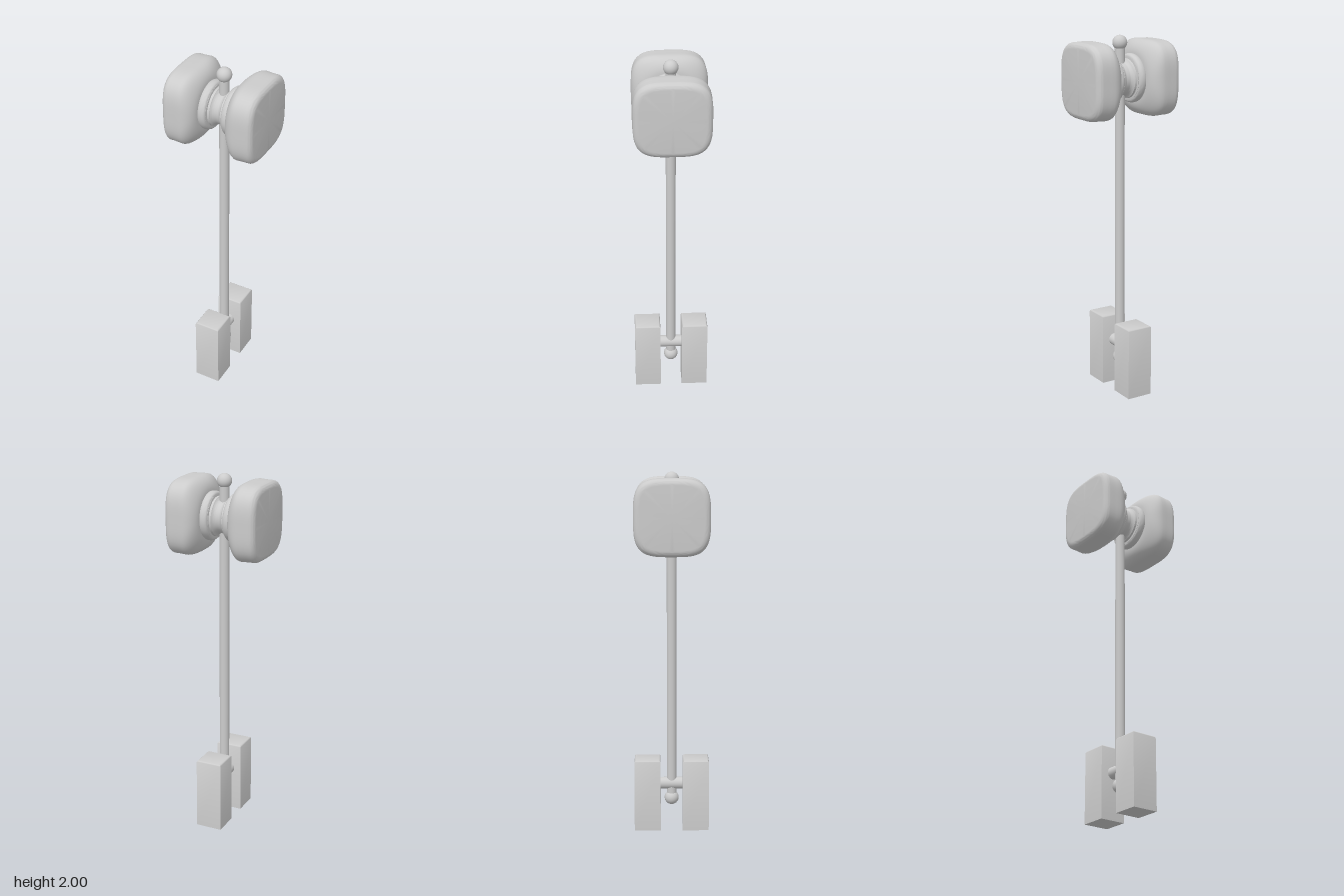
import * as THREE from 'three';
import { toCreasedNormals } from 'three/addons/utils/BufferGeometryUtils.js';

const material = new THREE.MeshStandardMaterial({ color: 0xcccccc });
const HEAD_Y = 1.766;

function addMesh(parent, name, geometry, x = 0, y = 0, z = 0) {
  const mesh = new THREE.Mesh(geometry, material);
  mesh.name = name;
  mesh.position.set(x, y, z);
  parent.add(mesh);
  return mesh;
}

const points = (list) => list.map(([r, y]) => new THREE.Vector2(r, y));

// Padded striking end: a lathe whose round section swells into a rounded square
function strikingEndGeometry() {
  const profile = points([[0, 0.08], [0.08, 0.08], [0.125, 0.084]]);
  for (let i = 1; i <= 10; i++) {
    const a = (i / 10) * Math.PI / 2;
    profile.push(new THREE.Vector2(0.125 + 0.081 * Math.sin(a), 0.158 - 0.074 * Math.cos(a)));
  }
  profile.push(...points([[0.205, 0.18], [0.204, 0.2], [0.204, 0.225]]));
  for (let i = 1; i <= 8; i++) {
    const a = (i / 8) * Math.PI / 2;
    profile.push(new THREE.Vector2(0.17 + 0.034 * Math.cos(a), 0.226 + 0.032 * Math.sin(a)));
  }
  profile.push(new THREE.Vector2(0, 0.258));
  const geometry = new THREE.LatheGeometry(profile, 72);
  const p = geometry.attributes.position;
  for (let i = 0; i < p.count; i++) {
    const x = p.getX(i), z = p.getZ(i), r = Math.hypot(x, z);
    if (r < 1e-6) continue;
    const n = 2.1 + 1.5 * THREE.MathUtils.smoothstep(p.getY(i), 0.075, 0.16);
    const k = Math.pow(Math.pow(Math.abs(x / r), n) + Math.pow(Math.abs(z / r), n), -1 / n);
    p.setX(i, x * k);
    p.setZ(i, z * k);
  }
  return toCreasedNormals(geometry, 0.7).rotateZ(-Math.PI / 2);
}

// Concave waist with a step ring and a rounded collar at each side
function spoolGeometry() {
  const half = [];
  for (let i = 0; i <= 8; i++) {
    const a = (i / 8) * 1.2;
    half.push([0.088 + 0.028 * (1 - Math.cos(a)), 0.033 * Math.sin(a)]);
  }
  half.push([0.107, 0.042], [0.12, 0.043]);
  for (let i = 0; i <= 8; i++) {
    const a = -Math.PI / 2 + (i / 8) * Math.PI;
    half.push([0.119 + 0.014 * Math.cos(a), 0.069 + 0.024 * Math.sin(a)]);
  }
  half.push([0, 0.093]);
  const mirrored = half.slice(1).reverse().map(([r, y]) => [r, -y]);
  const geometry = new THREE.LatheGeometry(points([...mirrored, ...half]), 48);
  return toCreasedNormals(geometry, 0.7).rotateZ(-Math.PI / 2);
}

// Upright block, square at the foot and softly rounded along the top edges
function blockGeometry(w, h, d, bevel) {
  const rows = 5;
  const geometry = new THREE.BoxGeometry(w, h, d, 1, rows, 1);
  const p = geometry.attributes.position;
  for (let i = 0; i < p.count; i++) {
    const row = Math.round((p.getY(i) / h + 0.5) * rows);
    if (row === 0) {
      p.setY(i, 0);
      continue;
    }
    const a = ((row - 1) / (rows - 1)) * Math.PI / 2;
    const inset = bevel * (1 - Math.cos(a));
    p.setXYZ(i,
      Math.sign(p.getX(i)) * (w / 2 - inset),
      h - bevel + bevel * Math.sin(a),
      Math.sign(p.getZ(i)) * (d / 2 - inset));
  }
  return toCreasedNormals(geometry, 0.6);
}

export function createModel() {
  const model = new THREE.Group();
  model.name = 'mallet';

  // Handle with a ball at each end
  addMesh(model, 'handle', new THREE.CylinderGeometry(0.027, 0.027, 1.785, 32), 0, 1.0675, 0);
  addMesh(model, 'topBall', new THREE.SphereGeometry(0.04, 32, 20), 0, 1.96, 0);
  addMesh(model, 'bottomBall', new THREE.SphereGeometry(0.04, 32, 20), 0, 0.173, 0);

  // Head
  const head = new THREE.Group();
  head.name = 'head';
  head.position.y = HEAD_Y;
  model.add(head);
  addMesh(head, 'spool', spoolGeometry());
  const end = strikingEndGeometry();
  addMesh(head, 'leftStrikingEnd', end);
  addMesh(head, 'rightStrikingEnd', end).rotation.y = Math.PI;

  // Grip blocks joined by a crossbar
  const bar = new THREE.CylinderGeometry(0.033, 0.033, 0.14, 32).rotateX(Math.PI / 2);
  addMesh(model, 'crossbar', bar, 0, 0.258, 0);
  const block = blockGeometry(0.148, 0.406, 0.147, 0.012);
  for (const [name, side] of [['frontBlock', 1], ['backBlock', -1]]) {
    addMesh(model, name, block, 0, 0, side * 0.1355);
  }
  return model;
}
